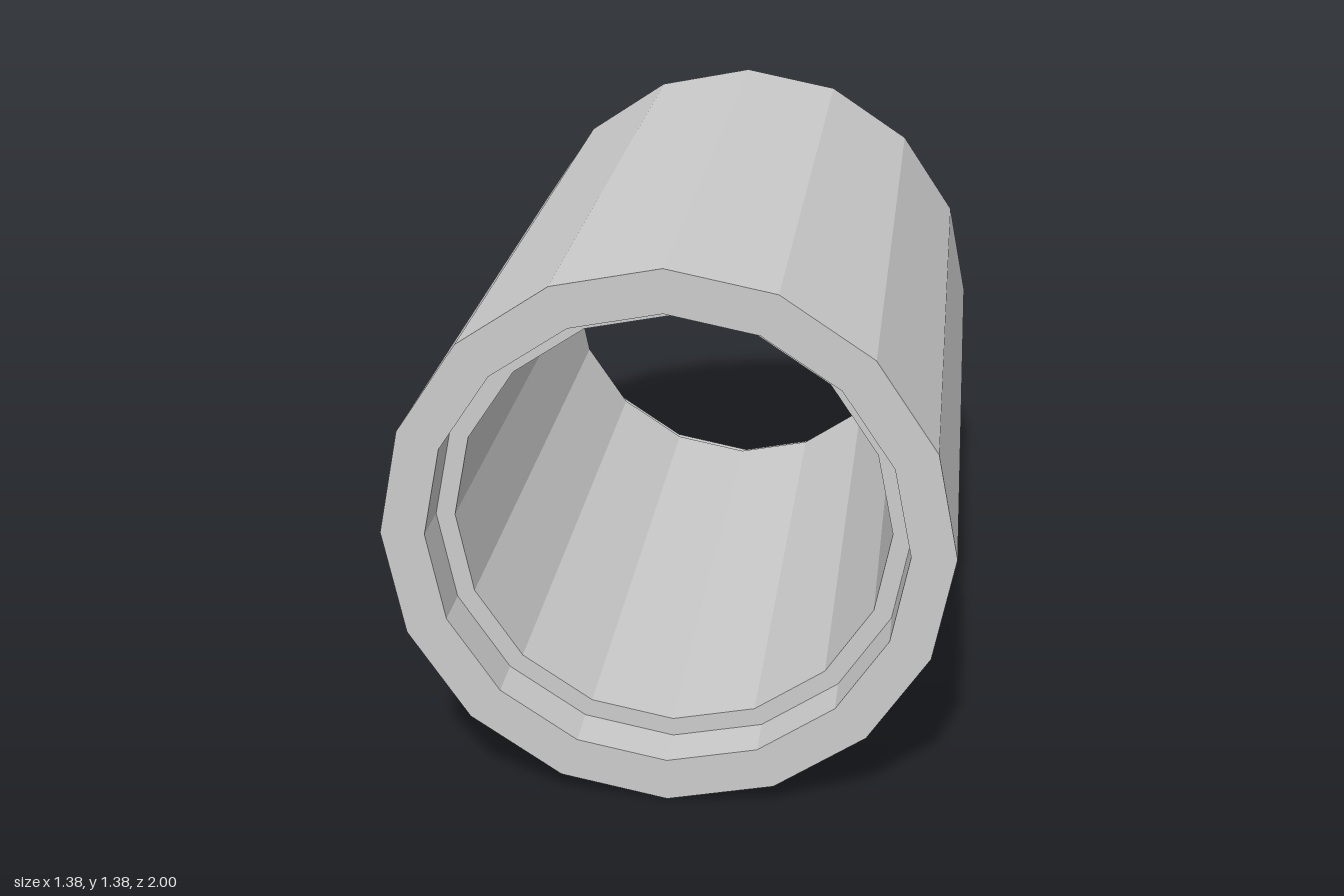
import * as THREE from 'three';

const SIDES = 16;
const OUTER = 0.688;   // outer wall radius
const SOCKET = 0.58;   // recess radius at each end
const BORE = 0.533;    // through-hole radius
const HALF = 1;        // half length
const LEDGE = 0.875;   // distance of each inner ledge from the middle

export function createModel() {
  const group = new THREE.Group();
  group.name = 'pipe';

  // Closed wall section: outside, end face, socket, ledge, bore, and back
  const profile = [
    [OUTER, -HALF], [OUTER, HALF],
    [SOCKET, HALF], [SOCKET, LEDGE],
    [BORE, LEDGE], [BORE, -LEDGE],
    [SOCKET, -LEDGE], [SOCKET, -HALF],
    [OUTER, -HALF],
  ].map(([r, y]) => new THREE.Vector2(r, y));

  // Spin the section, then lay the pipe along z, resting on the ground
  const geometry = new THREE.LatheGeometry(profile, SIDES);
  geometry.rotateX(Math.PI / 2);
  geometry.translate(0, OUTER, 0);

  const material = new THREE.MeshStandardMaterial({ color: 0xcccccc, flatShading: true });
  const wall = new THREE.Mesh(geometry, material);
  wall.name = 'pipeWall';
  group.add(wall);

  return group;
}
